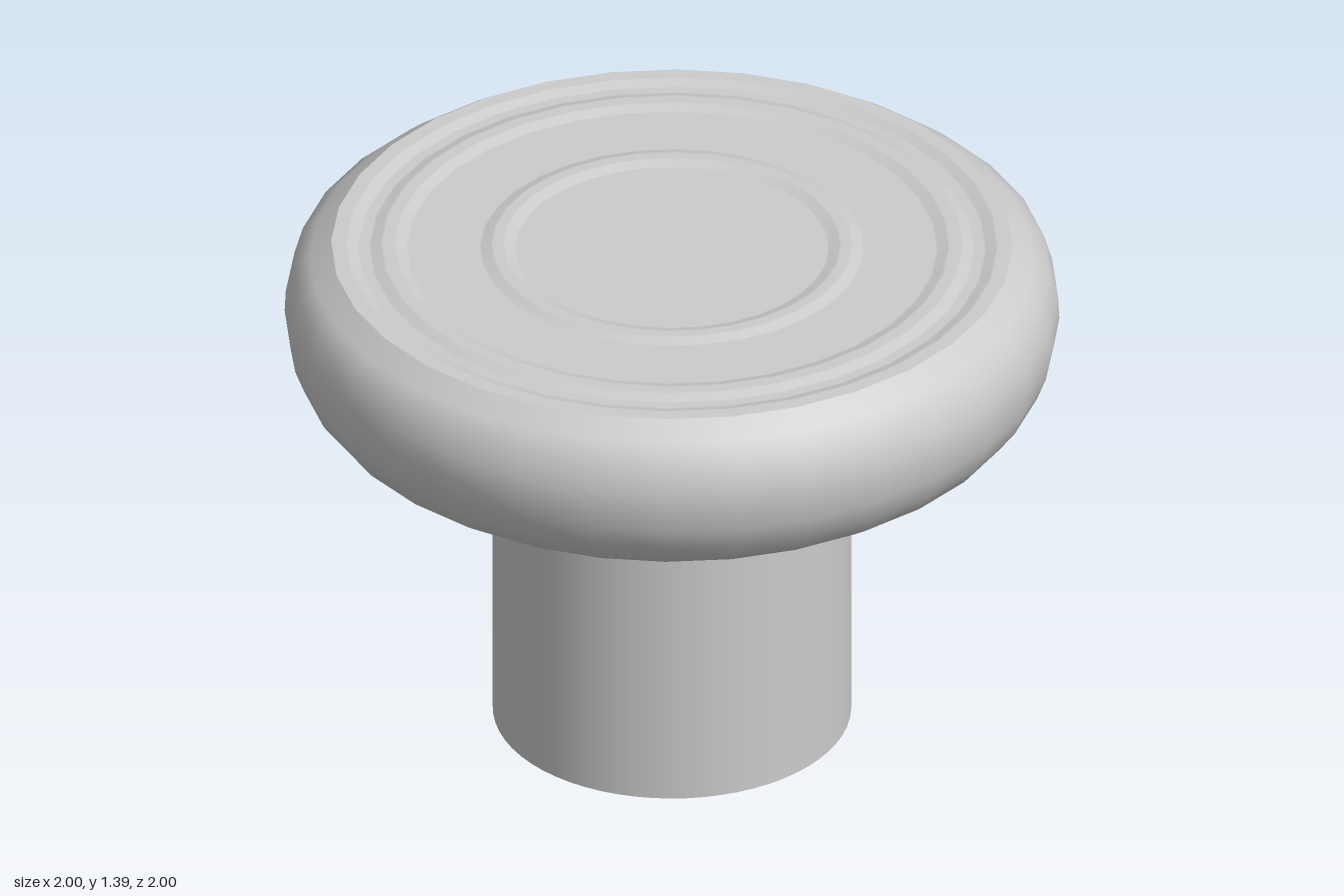
import * as THREE from 'three';

const material = new THREE.MeshStandardMaterial({ color: 0xcccccc });

function lathe(name, points, sides) {
  const profile = points.map(([r, y]) => new THREE.Vector2(r, y));
  const mesh = new THREE.Mesh(new THREE.LatheGeometry(profile, sides), material);
  mesh.name = name;
  return mesh;
}

export function createModel() {
  const group = new THREE.Group();
  group.name = 'knob';

  const sides = 32, top = 1.39, depth = 0.01, half = 0.012;

  // Rounded cap body, from the underside centre out to the top edge
  group.add(lathe('capBody', [
    [0, 0.935], [0.46, 0.935], [0.7, 0.932], [0.79, 0.938], [0.87, 0.955],
    [0.92, 0.99], [0.965, 1.05], [0.988, 1.11], [1, 1.18], [0.997, 1.24],
    [0.975, 1.315], [0.935, 1.35], [0.88, top],
  ], sides));

  // Flat face with shallow concentric steps, alternately down and up
  const face = [[0.88, top]];
  let y = top;
  [0.825, 0.765, 0.7, 0.48, 0.42].forEach((r, i) => {
    const next = i % 2 === 0 ? top - depth : top;
    face.push([r + half + 0.006, y], [r + half, y], [r - half, next], [r - half - 0.006, next]);
    y = next;
  });
  face.push([0, y]);
  group.add(lathe('capFace', face, sides));

  // Cylindrical stem
  const stem = new THREE.Mesh(new THREE.CylinderGeometry(0.463, 0.463, 0.95, 64), material);
  stem.name = 'stem';
  stem.position.y = 0.475;
  group.add(stem);

  return group;
}
